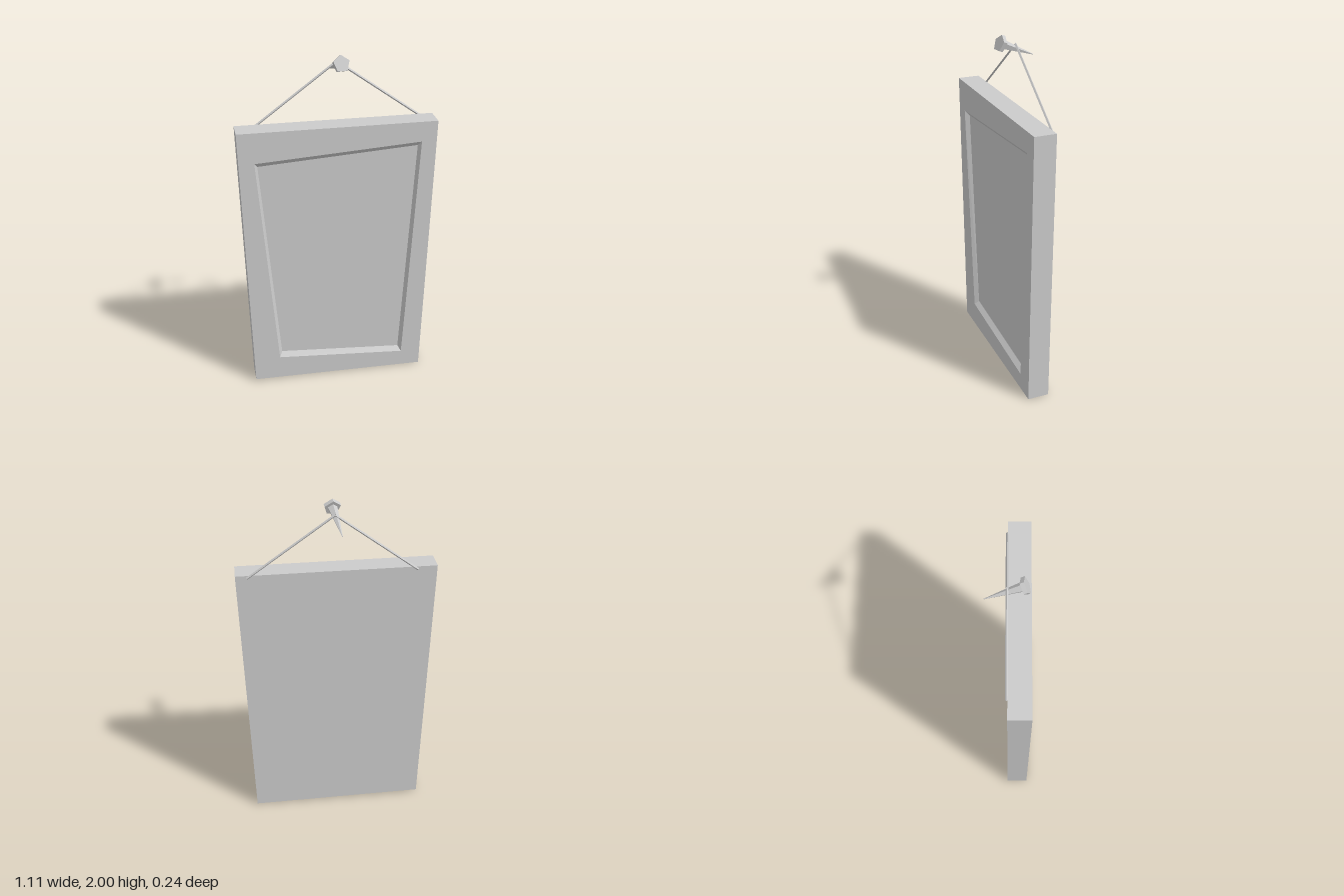
import * as THREE from 'three';

const material = new THREE.MeshStandardMaterial({ color: 0xcccccc, flatShading: true });

function addMesh(parent, name, geometry) {
  const mesh = new THREE.Mesh(geometry, material);
  mesh.name = name;
  parent.add(mesh);
  return mesh;
}

// Closed solid skinned over a series of four-cornered loops, capped at both ends
function loftQuads(loops) {
  const pos = [];
  const quad = (a, b, c, d) => pos.push(...a, ...b, ...c, ...a, ...c, ...d);
  for (let k = 0; k < loops.length - 1; k++) {
    for (let i = 0; i < 4; i++) {
      const j = (i + 1) % 4;
      quad(loops[k][i], loops[k][j], loops[k + 1][j], loops[k + 1][i]);
    }
  }
  quad(...[...loops[0]].reverse());
  quad(...loops[loops.length - 1]);
  const geometry = new THREE.BufferGeometry();
  geometry.setAttribute('position', new THREE.Float32BufferAttribute(pos, 3));
  geometry.computeVertexNormals();
  return geometry;
}

// Thin four-sided rod between two points
function rod(parent, name, from, to, radius) {
  const dir = to.clone().sub(from);
  const mesh = addMesh(parent, name, new THREE.CylinderGeometry(radius, radius, dir.length(), 4));
  mesh.position.copy(from).add(to).multiplyScalar(0.5);
  mesh.quaternion.setFromUnitVectors(new THREE.Vector3(0, 1, 0), dir.normalize());
}

export function createModel() {
  const model = new THREE.Group();
  model.name = 'hangingPicture';

  // Crooked frame with a shallow bevelled recess; corners run counter-clockwise
  const back = -0.005, front = 0.12, floor = 0.095;
  const outer = [[-0.51, 0.012], [0.51, 0], [0.555, 1.613], [-0.555, 1.615]];
  const lip = [[-0.36, 0.155], [0.395, 0.1], [0.467, 1.497], [-0.464, 1.438]];
  const panel = [[-0.343, 0.181], [0.378, 0.128], [0.451, 1.468], [-0.446, 1.41]];
  const at = (corners, z) => corners.map(([x, y]) => [x, y, z]);
  addMesh(model, 'frame', loftQuads([
    at(outer, back), at(outer, front), at(lip, front), at(panel, floor),
  ]));

  // Two straight cords meeting over the nail
  const apex = new THREE.Vector3(0.012, 1.942, -0.009);
  rod(model, 'leftCord', new THREE.Vector3(0.491, 1.6, -0.009), apex, 0.007);
  rod(model, 'rightCord', new THREE.Vector3(-0.446, 1.6, -0.009), apex, 0.007);

  // Tilted five-sided nail; its local y points out through the head
  const headFace = new THREE.Vector3(0.02, 1.957, 0.09);
  const tip = new THREE.Vector3(-0.012, 1.868, -0.122);
  const axis = headFace.clone().sub(tip);
  const length = axis.length();
  axis.normalize();
  const side = axis.clone().cross(new THREE.Vector3(0, 1, 0)).normalize();
  const up = side.clone().cross(axis);
  const nail = new THREE.Group();
  nail.name = 'nail';
  nail.position.copy(tip);
  nail.quaternion.setFromRotationMatrix(new THREE.Matrix4().makeBasis(side, axis, up));
  model.add(nail);

  const headThickness = 0.022;
  addMesh(nail, 'nailHead', new THREE.CylinderGeometry(0.047, 0.047, headThickness, 5))
    .position.y = length - headThickness / 2;
  const shaftLength = length - headThickness;
  addMesh(nail, 'nailShaft', new THREE.CylinderGeometry(0.027, 0.002, shaftLength, 5))
    .position.y = shaftLength / 2;

  return model;
}
